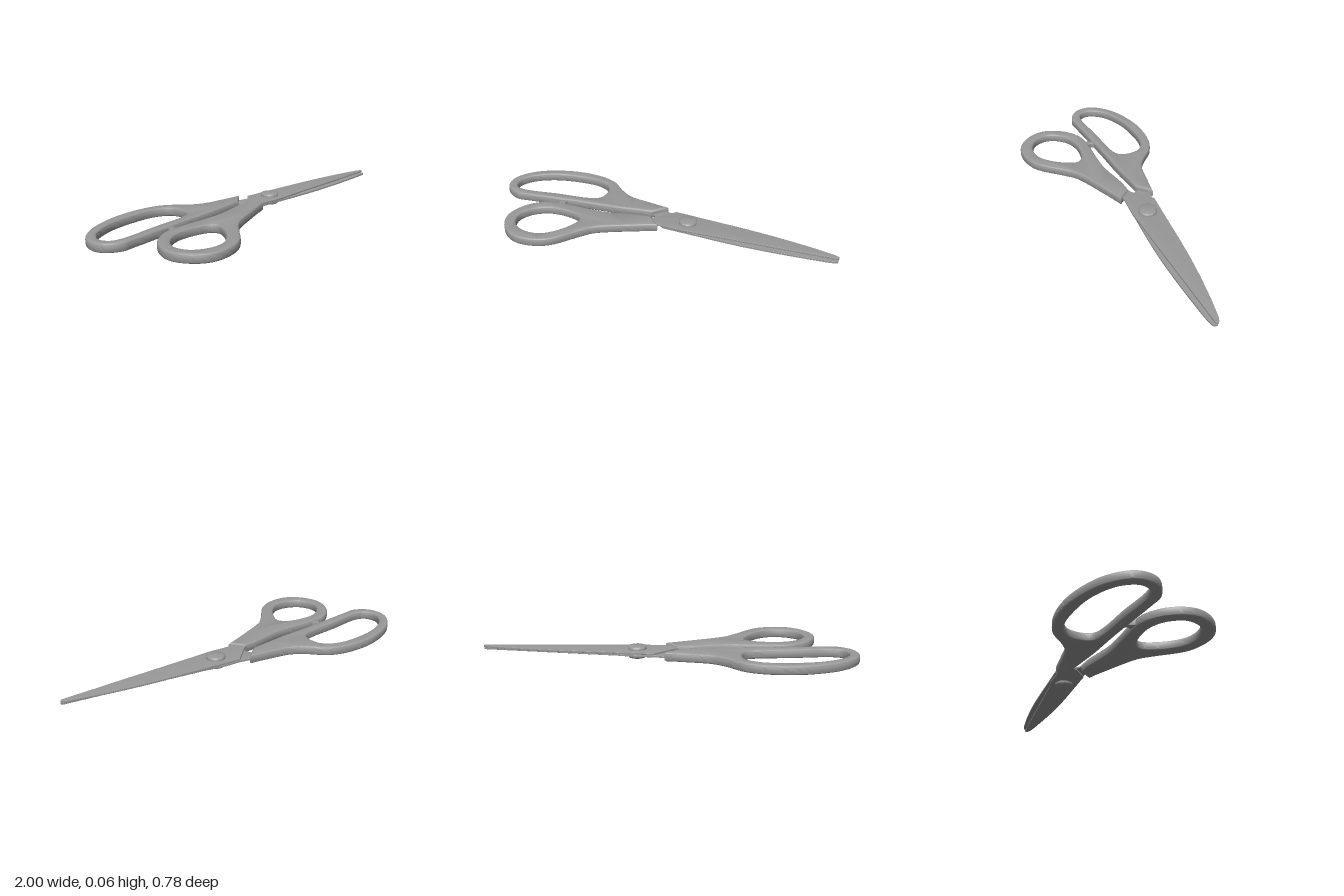
import * as THREE from 'three';
import { toCreasedNormals } from 'three/addons/utils/BufferGeometryUtils.js';

const material = new THREE.MeshStandardMaterial({ color: 0x999999 });
const toVectors = (pairs) => pairs.map(([x, z]) => new THREE.Vector2(x, z));

// Smooth closed ring through the given points
function ring(pairs) {
  const curve = new THREE.CatmullRomCurve3(pairs.map(([x, z]) => new THREE.Vector3(x, z, 0)), true);
  return new THREE.Path(curve.getPoints(72).slice(0, -1).map((p) => new THREE.Vector2(p.x, p.y)));
}

// Smooth open outline whose two ends are joined by a straight, sharp edge.
// Samples close to the corners are dropped so the bevel cannot fold there.
function outline(pairs) {
  const [first, last] = toVectors([pairs[0], pairs[pairs.length - 1]]);
  const samples = new THREE.SplineCurve(toVectors(pairs)).getPoints(120)
    .filter((p) => p.distanceTo(first) > 0.045 && p.distanceTo(last) > 0.045);
  const points = [first, ...samples, last];
  return new THREE.Shape(THREE.ShapeUtils.isClockWise(points) ? points.reverse() : points);
}

// Plan shape (x, z) laid flat between two heights
function slab(name, shape, bottom, top, bevel, crease) {
  const geometry = new THREE.ExtrudeGeometry(shape, {
    depth: top - bottom - 2 * bevel, bevelSegments: 4,
    bevelSize: bevel, bevelThickness: bevel, bevelOffset: -bevel,
  });
  geometry.rotateX(Math.PI / 2);
  geometry.translate(0, top - bevel, 0);
  const mesh = new THREE.Mesh(toCreasedNormals(geometry, crease), material);
  mesh.name = name;
  return mesh;
}

// Rounded grip with a finger hole
function handle(name, outer, hole) {
  const shape = outline(outer);
  shape.holes.push(ring(hole));
  return slab(name, shape, 0.005, 0.055, 0.013, 0.6);
}

// Blade: curved back, round tip, straight cutting edge, tang reaching into the handle
function blade(name, back, edge, bottom, top) {
  const points = new THREE.SplineCurve(toVectors(back)).getPoints(40);
  return slab(name, new THREE.Shape([...points, ...toVectors(edge)]), bottom, top, 0.001, 0.5);
}

export function createModel() {
  const scissors = new THREE.Group();
  scissors.name = 'scissors';

  scissors.add(handle('largeHandle', [
    [0, -0.24], [-0.12, -0.247], [-0.24, -0.257], [-0.32, -0.295], [-0.425, -0.37], [-0.56, -0.393],
    [-0.72, -0.37], [-0.88, -0.297], [-0.972, -0.205], [-1, -0.12], [-0.972, -0.04], [-0.89, 0.004],
    [-0.8, -0.008], [-0.5, -0.07], [-0.29, -0.107], [-0.16, -0.137], [-0.067, -0.16],
  ], [
    [-0.4, -0.225], [-0.425, -0.295], [-0.505, -0.332], [-0.64, -0.325], [-0.8, -0.28], [-0.912, -0.2],
    [-0.947, -0.12], [-0.922, -0.065], [-0.865, -0.053], [-0.665, -0.096], [-0.46, -0.138], [-0.412, -0.166],
  ]));

  scissors.add(handle('smallHandle', [
    [0.02, -0.048], [-0.08, 0.005], [-0.265, 0.112], [-0.335, 0.187], [-0.425, 0.312], [-0.505, 0.369],
    [-0.61, 0.391], [-0.7, 0.362], [-0.77, 0.285], [-0.79, 0.198], [-0.757, 0.096], [-0.685, 0.02],
    [-0.596, -0.014], [-0.4, -0.032], [-0.29, -0.048], [-0.13, -0.098], [-0.05, -0.112],
  ], [
    [-0.4, 0.096], [-0.425, 0.064], [-0.505, 0.048], [-0.61, 0.06], [-0.69, 0.112], [-0.728, 0.198],
    [-0.695, 0.28], [-0.61, 0.317], [-0.52, 0.3], [-0.45, 0.23], [-0.41, 0.15],
  ]));

  // Stop between the two handles
  scissors.add(slab('handleStop', new THREE.Shape(toVectors([
    [-0.615, 0], [-0.597, -0.035], [-0.605, -0.072], [-0.565, -0.072], [-0.573, -0.035], [-0.55, 0],
  ])), 0.016, 0.046, 0.002, 0.5));

  scissors.add(blade('upperBlade', [
    [0.056, -0.228], [0.25, -0.232], [0.45, -0.236], [0.62, -0.235], [0.8, -0.226], [0.93, -0.214],
    [0.98, -0.206], [0.997, -0.195], [0.99, -0.184],
  ], [
    [0.25, -0.084], [0.16, -0.07], [0.03, -0.066], [0, -0.06], [-0.1, -0.03], [-0.14, -0.07], [-0.035, -0.122],
  ], 0.034, 0.044));

  scissors.add(blade('lowerBlade', [
    [0.04, -0.072], [0.2, -0.08], [0.35, -0.086], [0.52, -0.098], [0.7, -0.12], [0.86, -0.144],
    [0.96, -0.162], [0.993, -0.176], [0.995, -0.195],
  ], [
    [0.25, -0.218], [0.16, -0.228], [0.05, -0.222], [-0.01, -0.228], [-0.12, -0.22], [-0.14, -0.17],
    [-0.055, -0.165], [-0.03, -0.13],
  ], 0.02, 0.03));

  // Pivot rivet with rounded heads above and below the blades
  const profile = [
    [0, 0], [0.042, 0], [0.047, 0.002], [0.05, 0.006], [0.05, 0.018], [0.03, 0.019],
    [0.03, 0.044], [0.05, 0.045], [0.05, 0.056], [0.047, 0.06], [0.042, 0.062], [0, 0.062],
  ];
  const rivet = new THREE.Mesh(
    toCreasedNormals(new THREE.LatheGeometry(toVectors(profile), 40), 0.7), material);
  rivet.name = 'pivotRivet';
  rivet.position.set(0.158, 0, -0.153);
  scissors.add(rivet);

  return scissors;
}
